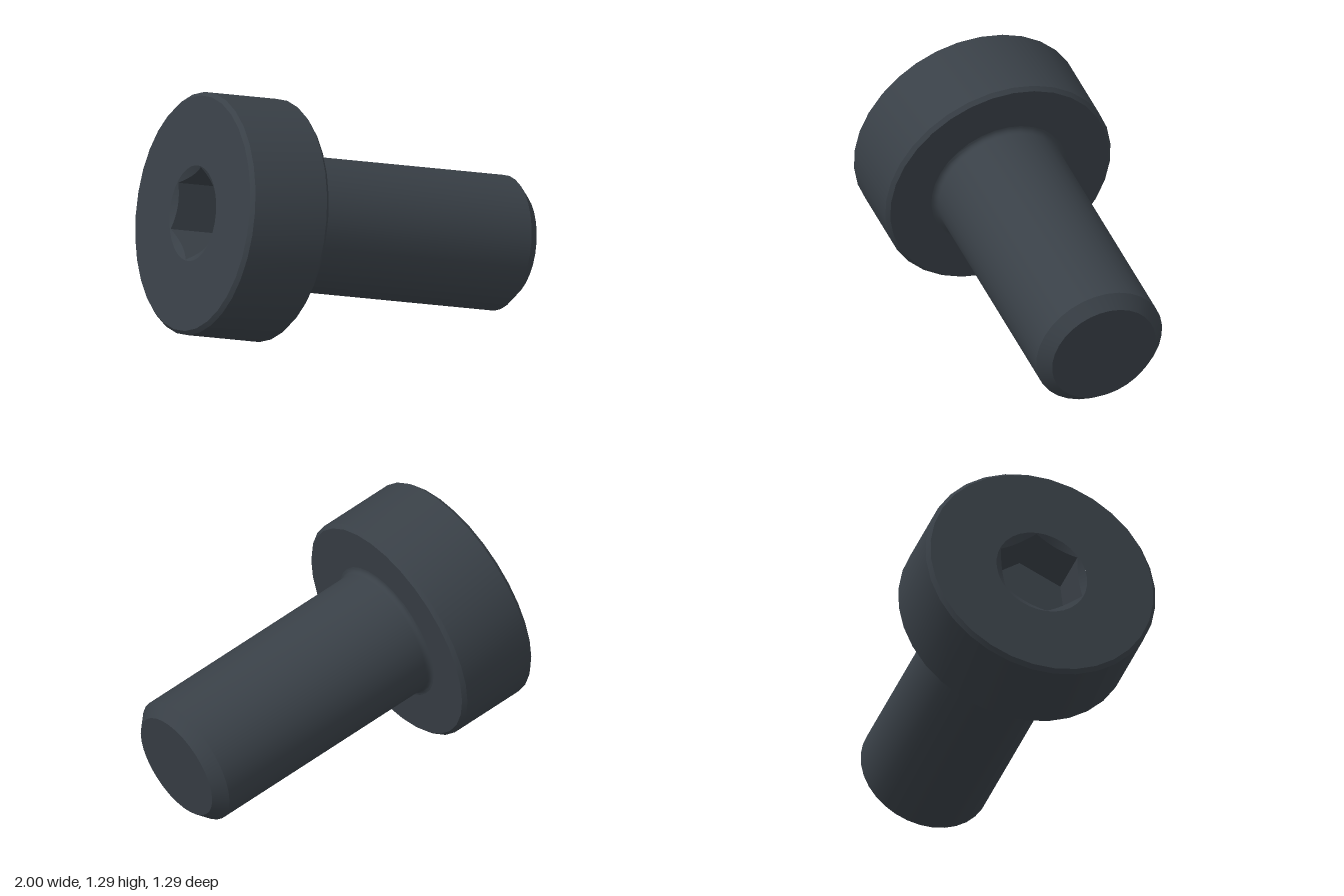
import * as THREE from 'three';
import { toCreasedNormals } from 'three/addons/utils/BufferGeometryUtils.js';

const SEGMENTS = 32;
const RIM = 0.243;          // countersunk socket opening
const HEX = 0.238;          // hexagon corner radius
const SOCKET_DEPTH = 0.26;

const steel = new THREE.MeshStandardMaterial({ color: 0x394047 });
steel.name = 'dark steel';

// Turned part about +y from [radius, height] pairs, listed bottom to top
function turned(name, profile) {
  const points = profile.map(([r, h]) => new THREE.Vector2(r, h));
  const geometry = toCreasedNormals(new THREE.LatheGeometry(points, SEGMENTS), 0.5);
  const mesh = new THREE.Mesh(geometry, steel);
  mesh.name = name;
  return mesh;
}

// Hexagonal recess whose conical countersink cuts scallops into the flats
function hexSocket() {
  const count = 48;
  const rings = [[], [], [], []];
  for (let i = 0; i <= count; i++) {
    const t = (i / count) * Math.PI * 2;
    const fromFlat = (t % (Math.PI / 3)) - Math.PI / 6;
    const r = (HEX * Math.cos(Math.PI / 6)) / Math.cos(fromFlat);
    const at = (radius, h) => [radius * Math.cos(t), h, radius * Math.sin(t)];
    rings[0].push(at(RIM, 0));
    rings[1].push(at(r, (RIM - r) * 0.6));
    rings[2].push(at(r, SOCKET_DEPTH));
    rings[3].push(at(0, SOCKET_DEPTH));
  }
  const positions = [];
  for (let j = 0; j < 3; j++) {
    for (let i = 0; i < count; i++) {
      const a = rings[j][i], b = rings[j][i + 1];
      const c = rings[j + 1][i], d = rings[j + 1][i + 1];
      positions.push(...a, ...b, ...c);
      if (j < 2) positions.push(...b, ...d, ...c);
    }
  }
  const geometry = new THREE.BufferGeometry();
  geometry.setAttribute('position', new THREE.Float32BufferAttribute(positions, 3));
  const mesh = new THREE.Mesh(toCreasedNormals(geometry, 0.4), steel);
  mesh.name = 'hexSocket';
  return mesh;
}

export function createModel() {
  const bolt = new THREE.Group();
  bolt.name = 'bolt';

  // Head: chamfered disc with a round opening in its outer face
  bolt.add(turned('head', [
    [RIM, 0], [0.597, 0], [0.616, 0.02], [0.616, 0.433], [0.597, 0.453], [0.33, 0.453],
  ]));

  // Shank: small fillet under the head, plain cylinder, chamfered tip
  const shaftR = 0.344, fillet = 0.028;
  const shank = [];
  for (let i = 0; i <= 5; i++) {
    const a = (i / 5) * Math.PI / 2;
    shank.push([shaftR + fillet * (1 - Math.sin(a)), 0.453 + fillet * (1 - Math.cos(a))]);
  }
  shank.push([shaftR, 1.766], [0.283, 1.829], [0, 1.829]);
  bolt.add(turned('shank', shank));

  bolt.add(hexSocket());

  // Lay the bolt along its slanted axis, tip toward the lower front right
  const axis = new THREE.Vector3(1, -0.2094, 0.2094).normalize();
  const side = new THREE.Vector3(0, 0, 1).addScaledVector(axis, -axis.z).normalize();
  const down = new THREE.Vector3().crossVectors(axis, side);
  bolt.quaternion.setFromRotationMatrix(new THREE.Matrix4().makeBasis(down, axis, side));
  bolt.position.set(-0.834, 0.695, -0.045);

  const model = new THREE.Group();
  model.name = 'socketHeadBolt';
  model.add(bolt);
  return model;
}
